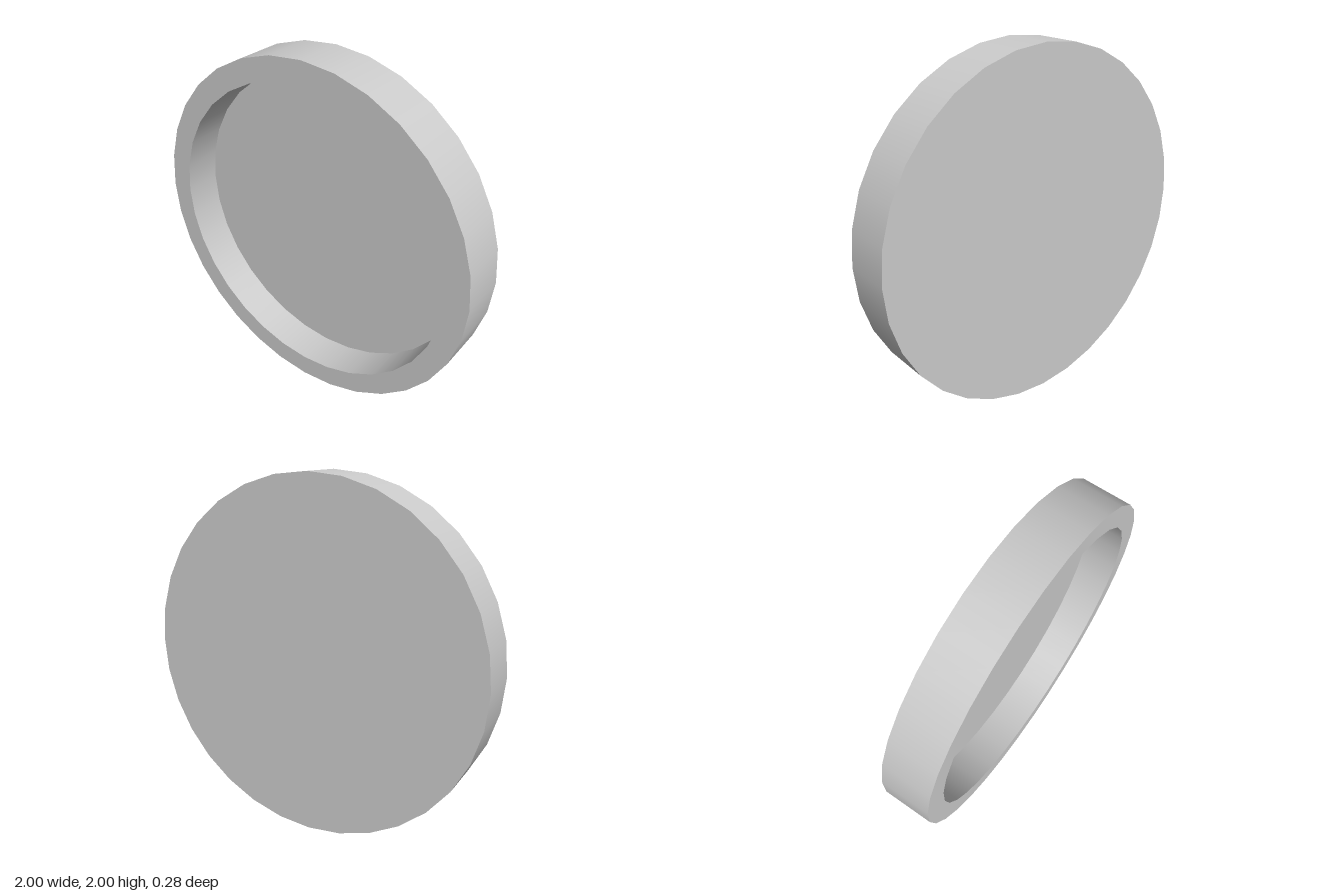
import * as THREE from 'three';
import { mergeGeometries } from 'three/addons/utils/BufferGeometryUtils.js';

const SIDES = 32;
const RADIUS = 1;
const INNER_RADIUS = 0.87;
const HALF_DEPTH = 0.14;
const FLOOR = -0.075; // height of the recessed face

// Turn each straight run of the profile separately: smooth around, sharp at the corners
function sharpLathe(profile) {
  const bands = [];
  for (let i = 0; i < profile.length - 1; i++) {
    const ends = [profile[i], profile[i + 1]].map(([r, h]) => new THREE.Vector2(r, h));
    bands.push(new THREE.LatheGeometry(ends, SIDES));
  }
  return mergeGeometries(bands);
}

export function createModel() {
  const model = new THREE.Group();
  model.name = 'shallowRoundTray';

  // Back disc, outer wall, rim, inner wall and recessed floor
  const geometry = sharpLathe([
    [0, -HALF_DEPTH],
    [RADIUS, -HALF_DEPTH],
    [RADIUS, HALF_DEPTH],
    [INNER_RADIUS, HALF_DEPTH],
    [INNER_RADIUS, FLOOR],
    [0, FLOOR],
  ]);
  geometry.rotateX(Math.PI / 2); // the open side faces the front

  const tray = new THREE.Mesh(geometry, new THREE.MeshStandardMaterial({ color: 0xcccccc }));
  tray.name = 'rimmedDisc';
  tray.position.y = RADIUS;
  model.add(tray);
  return model;
}
